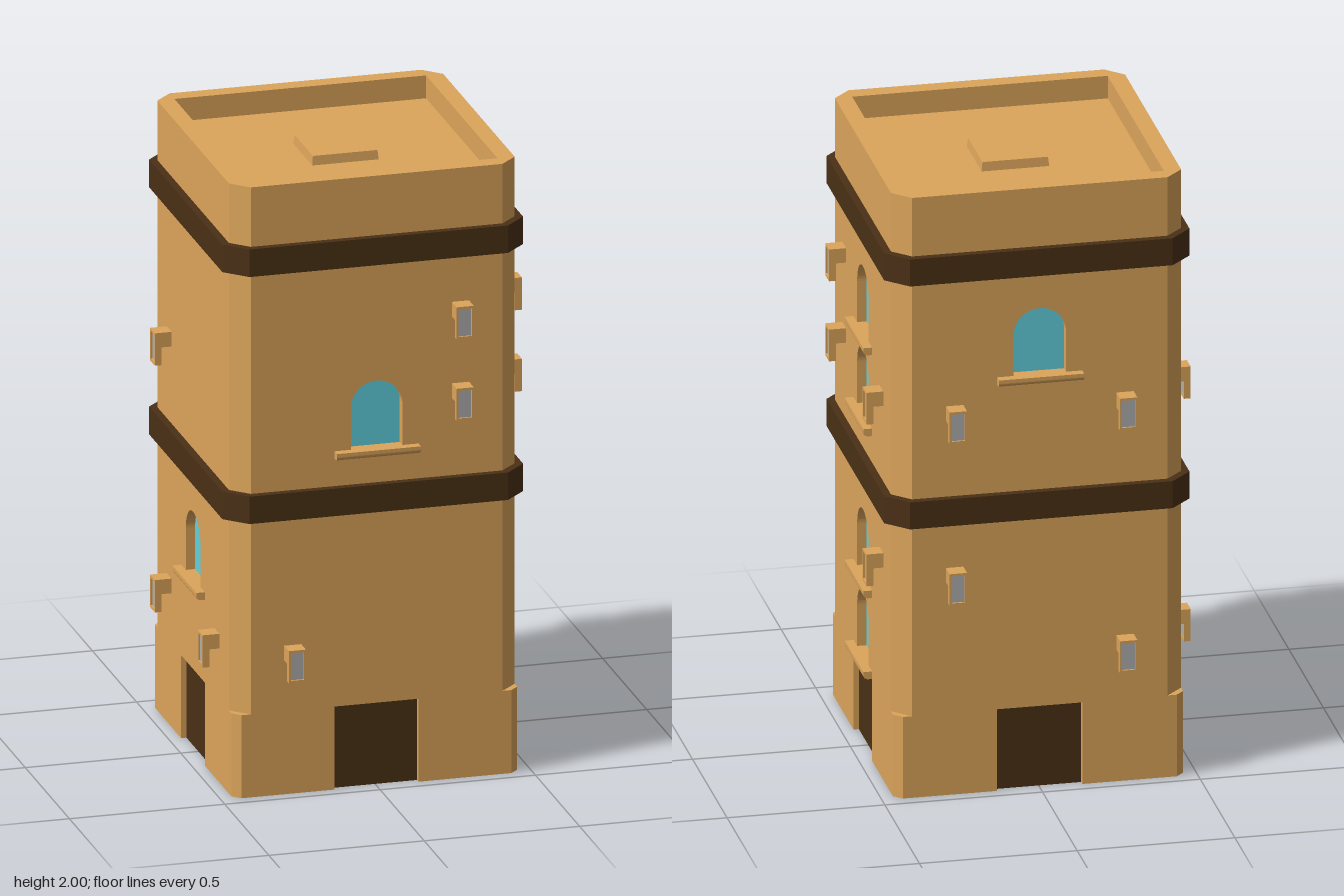
import * as THREE from 'three';

const mat = (color) => new THREE.MeshStandardMaterial({ color, flatShading: true });
const TAN = mat(0xdda55b), DARK = mat(0x4a3015), GLASS = mat(0x62d2e0), GREY = mat(0xb0b0b0);

const OUT = 0.46, IN = 0.405, H = 2, BASE = 0.272;
const WIN_W = 0.083, WIN_H = 0.222, DOOR_W = 0.135;

// Per side: window base heights, and lamps as [horizontal offset, top height]
const SIDES = [
  { name: 'front', turn: 0, windows: [1.106], lamps: [[0.27, 1.563], [0.27, 1.296], [-0.27, 0.487]] },
  { name: 'left', turn: Math.PI / 2, windows: [1.376, 1.106, 0.566, 0.296],
    lamps: [[-0.27, 1.563], [-0.27, 1.296], [0.27, 1.296], [0.27, 0.757]] },
  { name: 'back', turn: Math.PI, windows: [1.376], lamps: [[-0.27, 1.296], [-0.27, 0.757], [0.27, 1.296], [0.27, 0.487]] },
  { name: 'right', turn: -Math.PI / 2, windows: [0.566], lamps: [[-0.27, 1.296], [-0.27, 0.487], [0.27, 0.487]] },
];

function add(parent, name, geometry, material, x = 0, y = 0, z = 0) {
  const mesh = new THREE.Mesh(geometry, material);
  mesh.name = name;
  mesh.position.set(x, y, z);
  parent.add(mesh);
  return mesh;
}

const polygon = (pts) => new THREE.Shape(pts.map(([x, y]) => new THREE.Vector2(x, y)));
const extrude = (shape, depth) =>
  new THREE.ExtrudeGeometry(shape, { depth, bevelEnabled: false, curveSegments: 16 });

// Round-headed outline standing on y = base
function arch(Type, base) {
  const s = new Type();
  s.moveTo(-WIN_W, base);
  s.lineTo(WIN_W, base);
  s.lineTo(WIN_W, base + WIN_H - WIN_W);
  s.absarc(0, base + WIN_H - WIN_W, WIN_W, 0, Math.PI, false);
  s.lineTo(-WIN_W, base);
  return s;
}

// Square with cut corners; c is where the cut starts
const octagon = (r, c) => [[c, -r], [r, -c], [r, c], [c, r], [-c, r], [-r, c], [-r, -c], [-c, -r]];

// Ledge with a rounded underside
function sillGeometry() {
  const s = new THREE.Shape();
  s.moveTo(-0.03, 0);
  s.lineTo(-0.03, -0.025);
  s.lineTo(0.01, -0.025);
  s.quadraticCurveTo(0.028, -0.025, 0.028, -0.01);
  s.lineTo(0.028, 0);
  return extrude(s, 2 * DOOR_W).rotateY(-Math.PI / 2).translate(DOOR_W, 0, 0);
}

// Bracket arm with a hanging framed panel
function wallLamp(x, top) {
  const lamp = new THREE.Group();
  lamp.name = 'wallLamp';
  lamp.position.set(x, top, OUT);
  add(lamp, 'lampArm', new THREE.BoxGeometry(0.055, 0.048, 0.045), TAN, 0, -0.024, 0.0125);
  const frame = polygon([[-0.0275, -0.106], [0.0275, -0.106], [0.0275, 0], [-0.0275, 0]]);
  frame.holes.push(polygon([[-0.021, -0.098], [-0.021, -0.008], [0.021, -0.008], [0.021, -0.098]]));
  add(lamp, 'lampFrame', extrude(frame, 0.022), TAN, 0, 0, 0.032);
  add(lamp, 'lampPanel', new THREE.BoxGeometry(0.042, 0.09, 0.014), GREY, 0, -0.053, 0.041);
  return lamp;
}

function makeSide({ name, turn, windows, lamps }) {
  const side = new THREE.Group();
  side.name = name + 'Side';
  side.rotation.y = turn;

  // Wall with door notch and window openings
  const wall = polygon([[-IN, 0], [-DOOR_W, 0], [-DOOR_W, BASE], [DOOR_W, BASE], [DOOR_W, 0],
    [IN, 0], [IN, H], [-IN, H]]);
  for (const base of windows) wall.holes.push(arch(THREE.Path, base));
  add(side, 'wall', extrude(wall, OUT - IN), TAN, 0, 0, IN);

  add(side, 'door', new THREE.BoxGeometry(2 * DOOR_W, BASE, 0.04), DARK, 0, BASE / 2, 0.423);
  for (const base of windows) {
    add(side, 'windowPane', extrude(arch(THREE.Shape, base), 0.025), GLASS, 0, 0, IN);
    add(side, 'windowSill', sillGeometry(), TAN, 0, base + 0.003, OUT);
  }
  for (const [x, top] of lamps) side.add(wallLamp(x, top));

  // Corner: wide cut above, narrow cut on the base
  const upright = (pts, h) => extrude(polygon(pts.map(([x, z]) => [x, -z])), h).rotateX(-Math.PI / 2);
  add(side, 'cornerPost', upright([[IN, IN], [IN, OUT], [OUT, IN]], H - BASE), TAN, 0, BASE, 0);
  add(side, 'cornerBase',
    upright([[IN, IN], [IN, OUT], [0.434, OUT], [OUT, 0.434], [OUT, IN]], BASE), TAN);
  return side;
}

export function createModel() {
  const tower = new THREE.Group();
  tower.name = 'tower';
  for (const s of SIDES) tower.add(makeSide(s));

  // Dark bands around the body
  for (const y of [0.905, 1.715]) {
    const ring = polygon(octagon(0.484, 0.416));
    ring.holes.push(polygon(octagon(OUT - 0.002, IN - 0.002).reverse()));
    add(tower, 'band', extrude(ring, 0.09).rotateX(-Math.PI / 2), DARK, 0, y, 0);
  }

  // Sunken roof with a hatch
  add(tower, 'roof', new THREE.BoxGeometry(2 * IN, 0.05, 2 * IN), TAN, 0, 1.9, 0);
  const hatch = new THREE.CylinderGeometry(0.104 * Math.SQRT2, 0.107 * Math.SQRT2, 0.03, 4).rotateY(Math.PI / 4);
  add(tower, 'roofHatch', hatch, TAN, 0, 1.94, 0);
  return tower;
}
